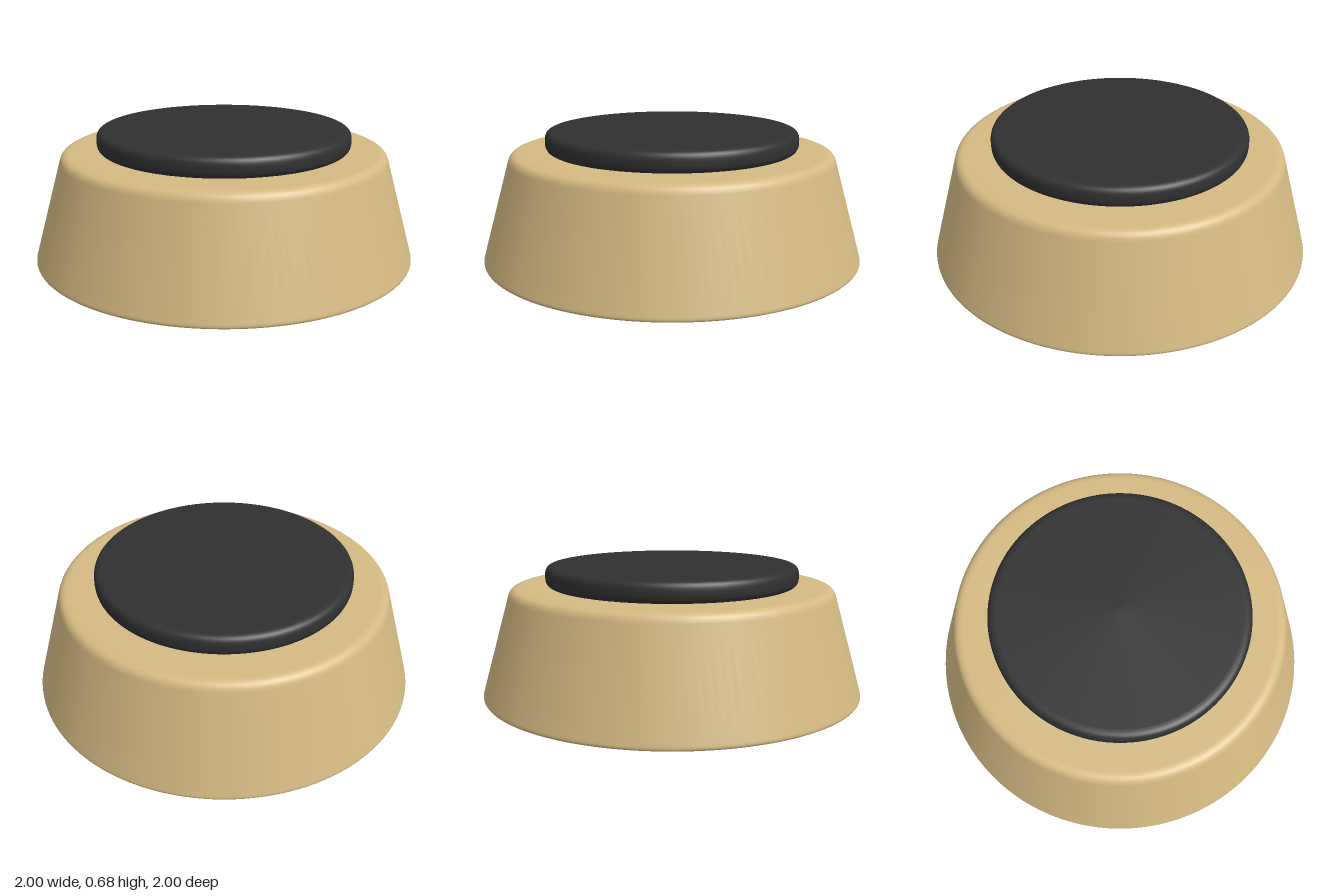
import * as THREE from 'three';

// Lathe profile from the axis out and back, with rounded corners: [radius, y, rounding]
function turned(name, corners, bottom, top, material) {
  const pts = [new THREE.Vector2(0, bottom)];
  const v = corners.map(([x, y]) => new THREE.Vector2(x, y));
  const ends = [pts[0], ...v, new THREE.Vector2(0, top)];
  corners.forEach(([, , r], i) => {
    const c = v[i];
    const toward = (p, d) => c.clone().add(p.clone().sub(c).setLength(d));
    const before = ends[i], after = ends[i + 2];
    // short straight runs either side keep the flats flat
    pts.push(toward(before, r + 0.003));
    pts.push(...new THREE.QuadraticBezierCurve(toward(before, r), c, toward(after, r)).getPoints(8));
    pts.push(toward(after, r + 0.003));
  });
  pts.push(ends[ends.length - 1]);
  const mesh = new THREE.Mesh(new THREE.LatheGeometry(pts, 128), material);
  mesh.name = name;
  return mesh;
}

export function createModel() {
  const tan = new THREE.MeshStandardMaterial({ color: 0xd4b982 });
  tan.name = 'tan';
  const charcoal = new THREE.MeshStandardMaterial({ color: 0x303030 });
  charcoal.name = 'charcoal';

  const group = new THREE.Group();
  group.name = 'taperedFoot';

  // Tapered body with softened rims
  group.add(turned('body', [[1.006, 0, 0.024], [0.845, 0.57, 0.042]], 0, 0.57, tan));

  // Rounded pad resting on the body
  group.add(turned('pad', [[0.665, 0.572, 0.045], [0.665, 0.68, 0.045]], 0.572, 0.68, charcoal));

  return group;
}
